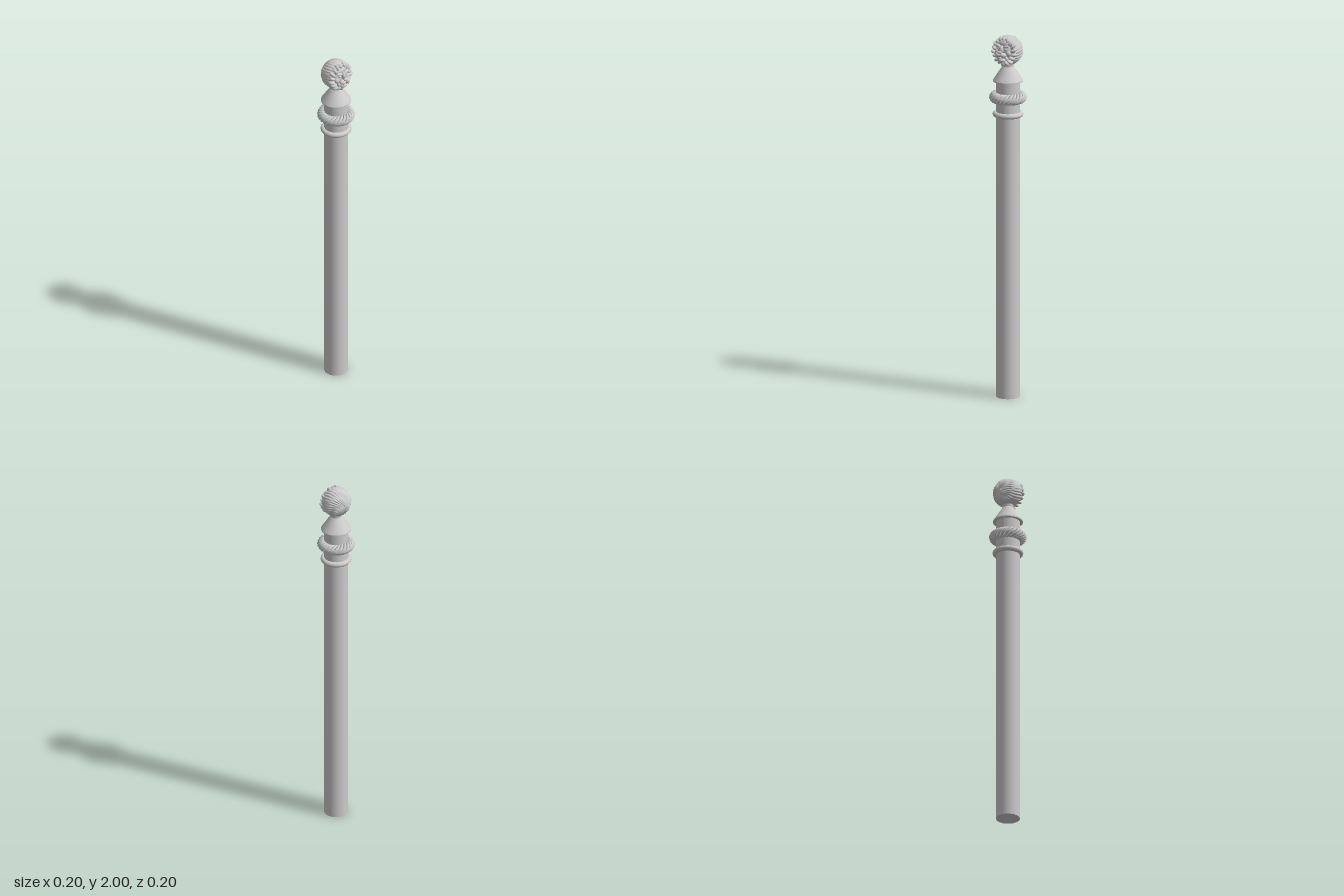
import * as THREE from 'three';
import { ParametricGeometry } from 'three/addons/geometries/ParametricGeometry.js';

const mat = new THREE.MeshStandardMaterial({ color: 0xcccccc, side: THREE.DoubleSide });

function add(parent, name, geometry, x = 0, y = 0, z = 0) {
  const mesh = new THREE.Mesh(geometry, mat);
  mesh.name = name;
  mesh.position.set(x, y, z);
  parent.add(mesh);
  return mesh;
}

// Ellipsoid with radii [rx, ry, rz], tilted about z
function blob(parent, name, [x, y, z], [rx, ry, rz], tilt = 0) {
  const mesh = add(parent, name, new THREE.SphereGeometry(1, 20, 14), x, y, z);
  mesh.scale.set(rx, ry, rz);
  mesh.rotation.z = tilt;
  return mesh;
}

// Twisted rope closed into a ring: a lobed section that turns along the ring
function ropeGeometry(ringRadius, radius, lobes, turns) {
  return new ParametricGeometry((s, t, target) => {
    const u = s * Math.PI * 2, v = t * Math.PI * 2;
    const lobe = Math.abs(Math.sin((lobes * (v - turns * u)) / 2));
    const r = radius * (0.72 + 0.28 * Math.sqrt(lobe));
    const R = ringRadius + r * Math.cos(v);
    target.set(R * Math.sin(u), r * Math.sin(v), R * Math.cos(u));
  }, 300, 60);
}

// Mane: a ball combed from the face to the back, with a hollow for the face
function maneGeometry() {
  const g = new THREE.SphereGeometry(1, 192, 64);
  g.rotateX(Math.PI / 2);
  const p = g.attributes.position;
  for (let i = 0; i < p.count; i++) {
    const x = p.getX(i), y = p.getY(i), z = p.getZ(i);
    const side = Math.hypot(x, y);
    const a = Math.atan2(y, x);
    const comb = Math.abs(Math.sin(a * 14 + 0.7 * Math.sin(z * 5))) * 0.7
      + 0.3 * Math.sin(a * 33 + z * 6);
    const r = 0.0785 + 0.0035 * comb * Math.min(1, side * 1.5);
    const front = 0.04 - 0.012 * (1 - side);
    p.setXYZ(i, x * r, y * r, Math.min(z * r, front));
  }
  g.computeVertexNormals();
  return g;
}

function createHead() {
  const head = new THREE.Group();
  head.name = 'lionHead';
  add(head, 'mane', maneGeometry());

  // Locks of the mane framing the face
  const locks = 18;
  for (let i = 0; i < locks; i++) {
    const a = (i + 0.5) / locks * Math.PI * 2;
    const R = 0.061 + (i % 2) * 0.004;
    blob(head, 'maneLock', [R * Math.cos(a), R * Math.sin(a), 0.034 - 0.006 * Math.sin(a)],
      [0.018, 0.0095, 0.018], a + 0.35 * Math.sign(Math.cos(a)));
  }

  // Face
  blob(head, 'face', [0, -0.002, 0.03], [0.052, 0.055, 0.028]);
  blob(head, 'forehead', [0, 0.04, 0.03], [0.042, 0.022, 0.022]);
  blob(head, 'noseBridge', [0, 0.014, 0.058], [0.012, 0.024, 0.016]);
  blob(head, 'nose', [0, 0.002, 0.077], [0.014, 0.008, 0.009]);
  blob(head, 'tongue', [0, -0.03, 0.058], [0.012, 0.005, 0.014]);
  blob(head, 'chin', [0, -0.045, 0.052], [0.02, 0.013, 0.021]);

  for (const s of [-1, 1]) {
    blob(head, 'brow', [s * 0.023, 0.031, 0.052], [0.02, 0.008, 0.011], s * 0.35);
    blob(head, 'eye', [s * 0.022, 0.017, 0.053], [0.009, 0.007, 0.008]);
    blob(head, 'cheek', [s * 0.036, -0.006, 0.046], [0.015, 0.016, 0.013]);
    blob(head, 'muzzlePad', [s * 0.015, -0.013, 0.066], [0.018, 0.013, 0.019]);
    blob(head, 'mouthCorner', [s * 0.027, -0.033, 0.048], [0.008, 0.014, 0.012], s * 0.3);
    const fang = add(head, 'fang', new THREE.ConeGeometry(0.004, 0.016, 10), s * 0.013, -0.03, 0.07);
    fang.rotation.x = Math.PI;
  }
  return head;
}

export function createModel() {
  const model = new THREE.Group();
  model.name = 'finialPost';
  const post = new THREE.Group();
  post.name = 'post';
  post.position.x = -0.004;
  model.add(post);

  // Shaft and its plain ring
  add(post, 'shaft', new THREE.CylinderGeometry(0.064, 0.064, 1.75, 48), 0, 0.875, 0);
  const ring = add(post, 'ring', new THREE.TorusGeometry(0.068, 0.0145, 16, 64), 0, 1.565, 0);
  ring.rotation.x = Math.PI / 2;

  // Rope collar
  add(post, 'ropeCollar', ropeGeometry(0.072, 0.029, 5, 5), 0, 1.658, 0);

  // Conical cap with a thin lip and a short neck
  add(post, 'capLip', new THREE.CylinderGeometry(0.08, 0.08, 0.006, 48), 0, 1.75, 0);
  add(post, 'cap', new THREE.CylinderGeometry(0.03, 0.08, 0.077, 48), 0, 1.7915, 0);
  add(post, 'neck', new THREE.CylinderGeometry(0.032, 0.03, 0.03, 32), 0, 1.84, 0);

  const head = createHead();
  head.position.y = 1.918;
  post.add(head);
  return model;
}
